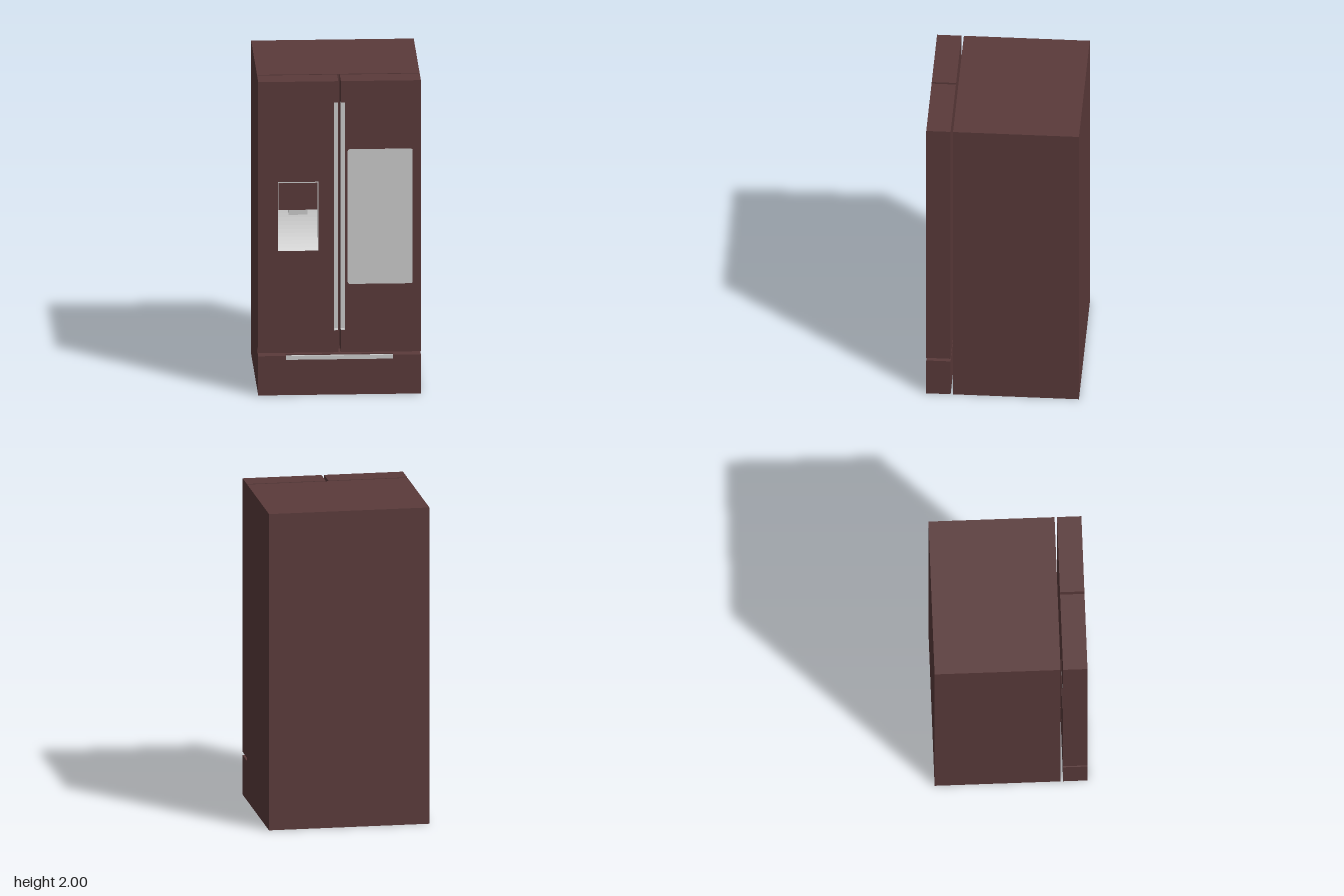
import * as THREE from 'three';

export function createModel() {
  const model = new THREE.Group();
  const brown = new THREE.MeshStandardMaterial({ color: 0x5a3a3a });
  const grey = new THREE.MeshStandardMaterial({ color: 0xcccccc });

  const add = (name, geometry, material) => {
    const mesh = new THREE.Mesh(geometry, material);
    mesh.name = name;
    model.add(mesh);
    return mesh;
  };

  // Box given by its limits on each axis
  const box = (name, material, x0, x1, y0, y1, z0, z1) => {
    const g = new THREE.BoxGeometry(x1 - x0, y1 - y0, z1 - z0);
    g.translate((x0 + x1) / 2, (y0 + y1) / 2, (z0 + z1) / 2);
    return add(name, g, material);
  };

  // Flat outline in x and y, extruded from z0 to z1
  const slab = (name, material, points, z0, z1, hole) => {
    const shape = new THREE.Shape(points.map(p => new THREE.Vector2(...p)));
    if (hole) shape.holes.push(new THREE.Path(hole.map(p => new THREE.Vector2(...p))));
    const g = new THREE.ExtrudeGeometry(shape, { depth: z1 - z0, bevelEnabled: false });
    g.translate(0, 0, z0);
    return add(name, g, material);
  };

  const back = 0.32, pocket = 0.43, front = 0.47;
  const gap = 0.008, grip = 0.034, low = 0.41, high = 1.865;

  // Cabinet
  box('cabinet', brown, -0.5, 0.5, 0, 2, -0.47, 0.305);

  // Two doors, each with a grip pocket along its inner edge
  const dispenserHole = [[-0.38, 0.92], [-0.38, 1.36], [-0.13, 1.36], [-0.13, 0.92]];
  for (const [side, s] of [['left', 1], ['right', -1]]) {
    const hole = s < 0 ? dispenserHole : null;
    const mirror = pts => pts.map(([x, y]) => [s * x, y]);
    slab(side + 'DoorBack', brown,
      mirror([[gap, 0.27], [0.5, 0.27], [0.5, 2], [gap, 2]]), back, pocket, hole);
    slab(side + 'DoorFront', brown,
      mirror([[gap, 0.27], [0.5, 0.27], [0.5, 2], [gap, 2],
        [gap, high], [grip, high], [grip, low], [gap, low]]), pocket, front, hole);

    // Grey lining of the grip pocket: back, side, floor and ceiling
    const lining = (part, a, b, y0, y1, z1) =>
      box(side + part, grey, Math.min(s * a, s * b), Math.max(s * a, s * b), y0, y1, pocket, z1);
    lining('HandleBack', gap, grip, low, high, pocket + 0.003);
    lining('HandleSide', grip - 0.003, grip, low, high, front - 0.001);
    lining('HandleFloor', gap, grip, low, low + 0.003, front - 0.001);
    lining('HandleCeiling', gap, grip, high - 0.003, high, front - 0.001);
  }

  // Bottom drawer with a finger slot behind a grey lip
  box('drawerBack', brown, -0.5, 0.5, 0, 0.25, back, pocket);
  slab('drawerFront', brown,
    [[-0.5, 0], [0.5, 0], [0.5, 0.25], [0.33, 0.25], [0.33, 0.225],
      [-0.33, 0.225], [-0.33, 0.25], [-0.5, 0.25]], pocket, front);
  box('drawerHandle', grey, -0.33, 0.33, 0.225, 0.25, 0.455, front);

  // Glass panel with rounded corners
  const [l, r, b, t, c] = [0.05, 0.45, 0.705, 1.565, 0.014];
  const glass = new THREE.Shape();
  glass.absarc(r - c, t - c, c, 0, Math.PI / 2);
  glass.absarc(l + c, t - c, c, Math.PI / 2, Math.PI);
  glass.absarc(l + c, b + c, c, Math.PI, Math.PI * 1.5);
  glass.absarc(r - c, b + c, c, Math.PI * 1.5, Math.PI * 2);
  const glassGeometry = new THREE.ExtrudeGeometry(glass,
    { depth: 0.004, bevelEnabled: false, curveSegments: 6 });
  glassGeometry.translate(0, 0, front - 0.003);
  add('glassPanel', glassGeometry, grey);

  // Dispenser control panel in a thin grey frame
  box('dispenserFrame', grey, -0.38, -0.13, 1.182, 1.36, 0.325, front - 0.002);
  box('dispenserPanel', brown, -0.374, -0.136, 1.182, 1.353, 0.46, front);

  // Dispenser recess: curved back running forward to the lower edge
  const profile = new THREE.Shape();
  profile.moveTo(0.325, 0.92);
  profile.lineTo(front - 0.001, 0.92);
  profile.quadraticCurveTo(0.39, 1.03, 0.35, 1.182);
  profile.lineTo(0.325, 1.182);
  const recess = new THREE.ExtrudeGeometry(profile,
    { depth: 0.25, bevelEnabled: false, curveSegments: 12 });
  recess.rotateY(-Math.PI / 2);
  recess.translate(-0.13, 0, 0);
  add('dispenserRecess', recess, grey);
  for (const x of [-0.38, -0.132])
    box('dispenserSide', grey, x, x + 0.002, 0.92, 1.182, 0.33, front - 0.001);

  // Nozzle under the control panel
  box('dispenserNozzle', grey, -0.312, -0.196, 1.145, 1.182, 0.38, 0.45);

  return model;
}
